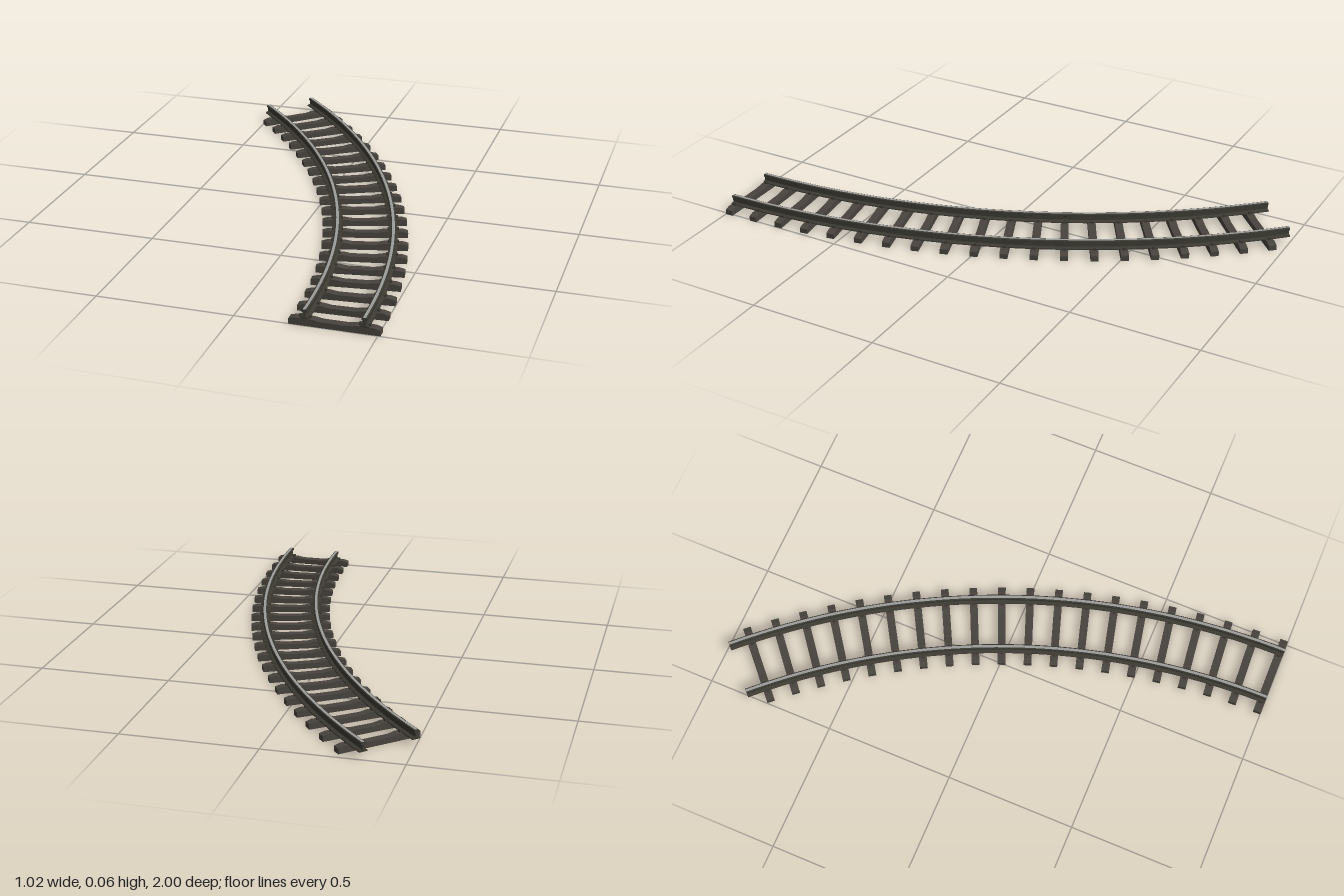
import * as THREE from 'three';
import { toCreasedNormals } from 'three/addons/utils/BufferGeometryUtils.js';

const RADIUS = 2.75, SWEEP = THREE.MathUtils.degToRad(44.2);
const HALF_GAUGE = 0.103, TIES = 20, TIE_WIDTH = 0.03;

// half profile from bottom to top, mirrored into a closed counterclockwise outline
const mirrorProfile = half => [
  ...half.map(([x, y]) => new THREE.Vector2(x, y)),
  ...half.slice().reverse().map(([x, y]) => new THREE.Vector2(-x, y)),
];

const railProfile = mirrorProfile([
  [0.016, 0.025], [0.016, 0.029], [0.004, 0.033], [0.004, 0.048],
  [0.009, 0.051], [0.009, 0.058], [0.007, 0.06],
]);
const tieProfile = mirrorProfile([
  [0.158, 0], [0.158, 0.02], [0.137, 0.026], [0.073, 0.026], [0.045, 0.021],
]);

export function createModel() {
  const model = new THREE.Group();
  model.name = 'curvedTrack';
  const mat = (name, color) => {
    const m = new THREE.MeshStandardMaterial({ color });
    m.name = name;
    return m;
  };
  const wood = mat('dark wood', 0x48433d);
  const steel = mat('weathered steel', 0x3c3a32);
  const polished = mat('polished steel', 0x9c9c9a);

  // everything turns around the centre of the curve
  const track = new THREE.Group();
  track.name = 'track';
  track.position.set(0.351 - RADIUS, 0, 1);
  model.add(track);

  const add = (parent, name, geometry, material, x = 0, y = 0, z = 0) => {
    const mesh = new THREE.Mesh(geometry, material);
    mesh.name = name;
    mesh.position.set(x, y, z);
    parent.add(mesh);
    return mesh;
  };
  const pivot = (name, angle) => {
    const g = new THREE.Group();
    g.name = name;
    g.rotation.y = angle;
    track.add(g);
    return g;
  };
  const sweep = (points, r) => toCreasedNormals(new THREE.LatheGeometry(
    points.map(p => new THREE.Vector2(p.x + r, p.y)), 48, Math.PI / 2, SWEEP), 0.4);

  // rails with a worn running surface and closed ends
  const startEnd = pivot('startEnd', 0), farEnd = pivot('farEnd', SWEEP);
  const endCap = new THREE.ShapeGeometry(new THREE.Shape(railProfile));
  const stripLine = [new THREE.Vector2(0.005, 0.0604), new THREE.Vector2(-0.005, 0.0604)];
  for (const side of [-1, 1]) {
    const name = side > 0 ? 'outer' : 'inner';
    const r = RADIUS + side * HALF_GAUGE;
    add(track, name + 'Rail', sweep([...railProfile, railProfile[0]], r), steel);
    add(track, name + 'RunningSurface', sweep(stripLine, r), polished);
    add(startEnd, name + 'RailEnd', endCap, steel, r);
    add(farEnd, name + 'RailEnd', endCap, steel, r).rotation.y = Math.PI;
  }

  // ties with raised rail seats and a clip on each side of each rail
  const tieGeometry = new THREE.ExtrudeGeometry(new THREE.Shape(tieProfile),
    { depth: TIE_WIDTH, bevelEnabled: false });
  tieGeometry.translate(0, 0, -TIE_WIDTH / 2);
  const clipGeometry = new THREE.BoxGeometry(0.01, 0.01, 0.012);
  const first = TIE_WIDTH / 2 / RADIUS, last = 0.742;
  for (let i = 0; i < TIES; i++) {
    const tie = pivot('tie' + (i + 1), THREE.MathUtils.lerp(first, last, i / (TIES - 1)));
    add(tie, 'sleeper', tieGeometry, wood, RADIUS);
    for (const rail of [-1, 1]) for (const side of [-1, 1])
      add(tie, 'railClip', clipGeometry, steel,
        RADIUS + rail * HALF_GAUGE + side * 0.016, 0.03, 0);
  }
  return model;
}
